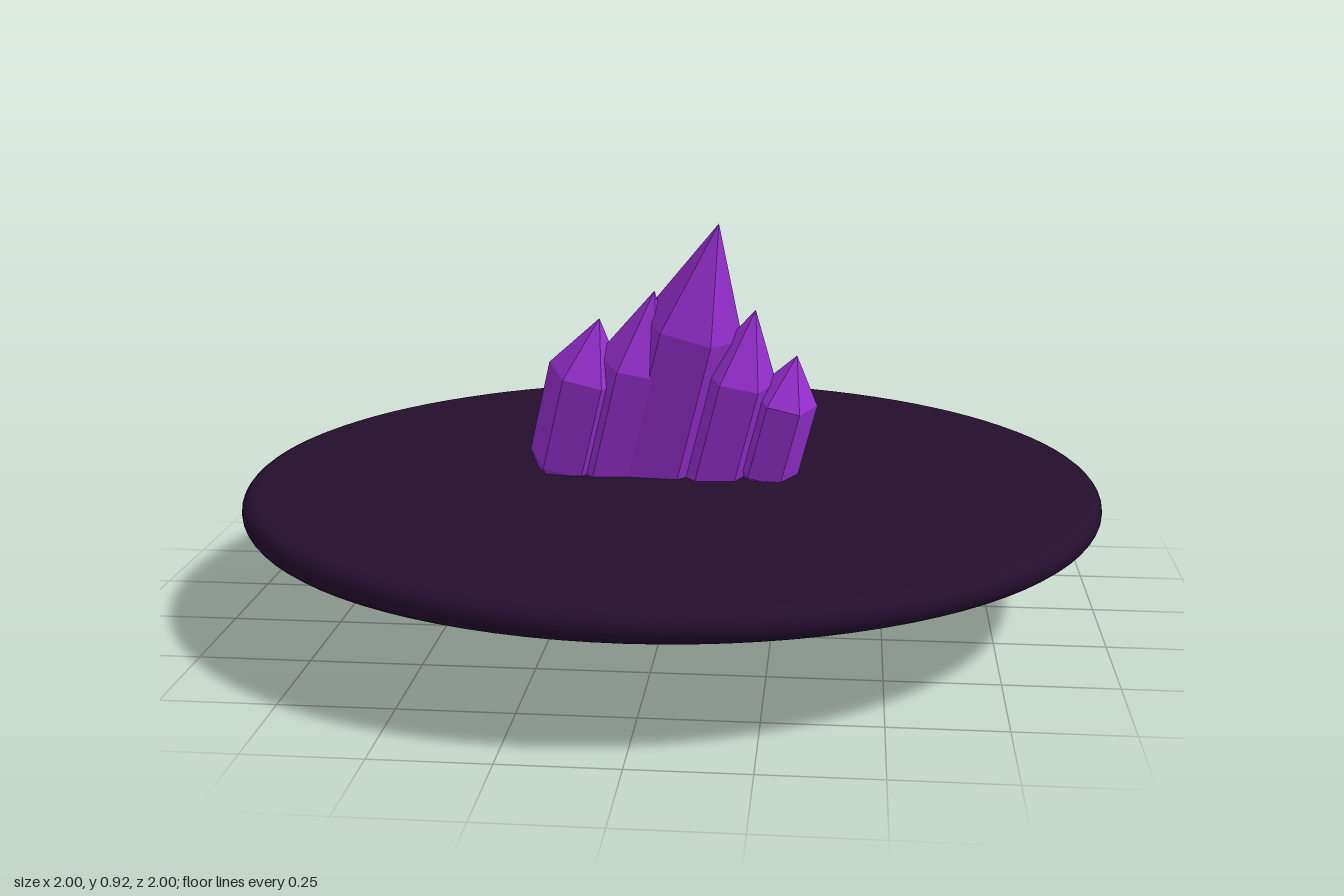
import * as THREE from 'three';

const crystalPurple = new THREE.MeshStandardMaterial({ color: 0x9a30d4 });
crystalPurple.name = 'crystal purple';
crystalPurple.flatShading = true;
const darkPlum = new THREE.MeshStandardMaterial({ color: 0x240e2e });
darkPlum.name = 'dark plum';

const UP = new THREE.Vector3(0, 1, 0);
// All crystals lean the same way
const LEAN = new THREE.Vector3(0.25, 1, 0.207);
const RIM = 0.46; // where the prism ends and the point begins

// Six-sided prism, pointed at both ends
function crystal(name, x, y, z, halfHeight, rx, rz, turn) {
  const h = halfHeight * LEAN.length();
  const profile = [[0, -h], [1, -h * RIM], [1, h * RIM], [0, h]].map(([r, v]) => new THREE.Vector2(r, v));
  const geometry = new THREE.LatheGeometry(profile, 6, Math.PI / 2 + turn);
  geometry.scale(rx, 1, rz);
  const mesh = new THREE.Mesh(geometry, crystalPurple);
  mesh.name = name;
  mesh.quaternion.setFromUnitVectors(UP, LEAN.clone().normalize());
  mesh.position.set(x, y, z);
  return mesh;
}

export function createModel() {
  const model = new THREE.Group();
  model.name = 'crystalClusterOnDisc';

  // Thin disc with a fully rounded rim
  const half = 0.034;
  const rim = [new THREE.Vector2(0, -half)];
  for (let i = 0; i <= 12; i++) {
    const a = -Math.PI / 2 + (Math.PI * i) / 12;
    rim.push(new THREE.Vector2(1 - half + half * Math.cos(a), half * Math.sin(a)));
  }
  rim.push(new THREE.Vector2(0, half));
  const disc = new THREE.Mesh(new THREE.LatheGeometry(rim, 96), darkPlum);
  disc.name = 'disc';
  disc.position.y = 0.277;
  model.add(disc);

  // Row of crystals passing through the disc
  const cluster = new THREE.Group();
  cluster.name = 'crystals';
  cluster.add(
    crystal('mainCrystal', 0, 0.46, 0, 0.46, 0.12, 0.1, -0.08),
    crystal('innerLeftCrystal', 0.125, 0.425, 0.01, 0.295, 0.09, 0.095, 0.1),
    crystal('outerLeftCrystal', 0.245, 0.415, 0.005, 0.195, 0.077, 0.09, 0),
    crystal('innerRightCrystal', -0.115, 0.435, 0, 0.325, 0.095, 0.092, 0.12),
    crystal('outerRightCrystal', -0.225, 0.445, 0, 0.245, 0.092, 0.092, 0)
  );
  model.add(cluster);
  return model;
}
